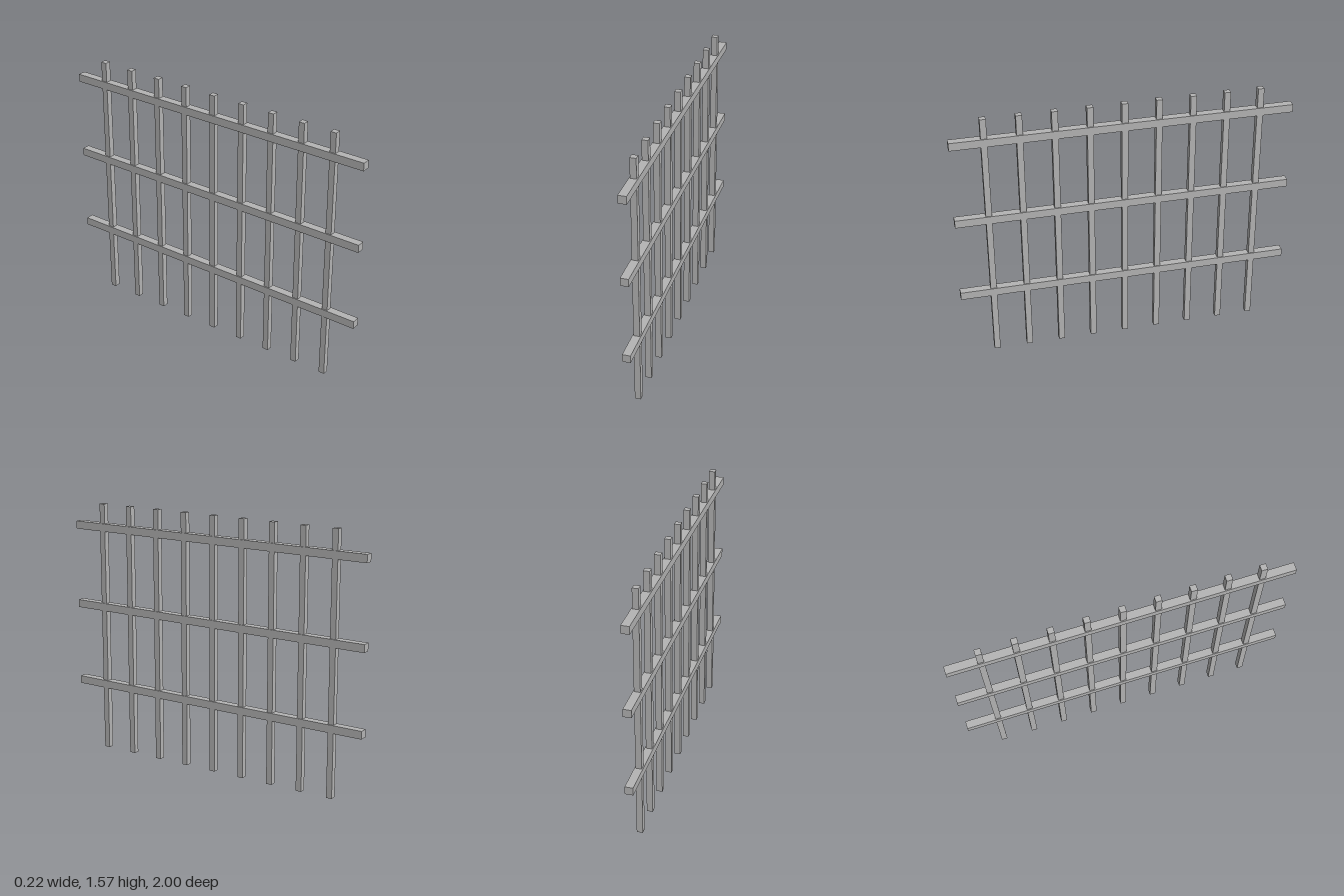
import * as THREE from 'three';

export function createModel() {
  const grey = new THREE.MeshStandardMaterial({ color: 0xb4b4b4 });
  grey.name = 'plain grey';

  const height = 1.567, length = 2.003, spacing = 0.2008;
  const barWidth = 0.036, railWidth = 0.048;

  const model = new THREE.Group();
  model.name = 'fence';

  function addBox(name, w, h, d, y, z) {
    const mesh = new THREE.Mesh(new THREE.BoxGeometry(w, h, d), grey);
    mesh.name = name;
    mesh.position.set(0, y, z);
    lattice.add(mesh);
  }

  // The whole lattice is turned slightly about the vertical
  const lattice = new THREE.Group();
  lattice.name = 'lattice';
  lattice.rotation.y = THREE.MathUtils.degToRad(5);
  model.add(lattice);

  // Nine upright bars
  for (let i = -4; i <= 4; i++) {
    addBox('uprightBar', barWidth, height, barWidth, height / 2, i * spacing);
  }

  // Three horizontal rails
  for (let i = 0; i < 3; i++) {
    addBox('horizontalRail', railWidth, railWidth, length, 0.421 + i * 0.5005, 0);
  }

  return model;
}
